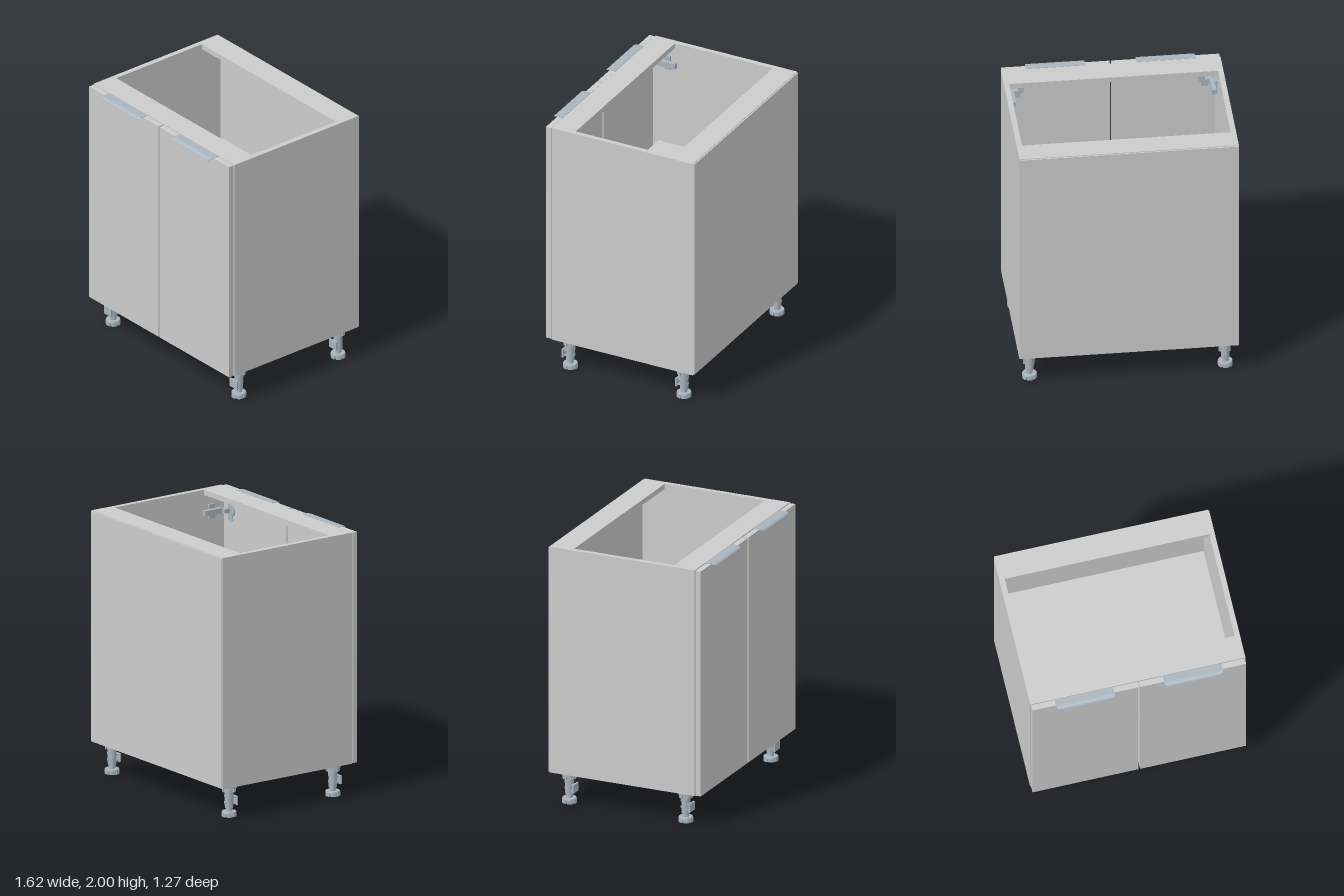
import * as THREE from 'three';

const board = new THREE.MeshStandardMaterial({ color: 0xcccccc });
const metal = new THREE.MeshStandardMaterial({ color: 0xa9b4be });

function add(parent, name, geo, mat, x = 0, y = 0, z = 0) {
  const m = new THREE.Mesh(geo, mat);
  m.name = name;
  m.position.set(x, y, z);
  parent.add(m);
  return m;
}

// box given by its limits on each axis
function box(parent, name, mat, [x0, x1], [y0, y1], [z0, z1]) {
  return add(parent, name, new THREE.BoxGeometry(x1 - x0, y1 - y0, z1 - z0), mat,
    (x0 + x1) / 2, (y0 + y1) / 2, (z0 + z1) / 2);
}

function cyl(parent, name, r0, r1, y0, y1, sides = 24) {
  return add(parent, name, new THREE.CylinderGeometry(r1, r0, y1 - y0, sides), metal, 0, (y0 + y1) / 2, 0);
}

// disc with slots cut into its rim
function slottedDisc(r, inner, slots, height) {
  const pts = [];
  const step = (Math.PI * 2) / slots;
  for (let i = 0; i < slots; i++) {
    const a = i * step, half = 0.1;
    pts.push([inner, a - half * 1.3], [inner, a + half * 1.3]);
    for (let k = 0; k <= 5; k++) pts.push([r, a + half + (step - 2 * half) * k / 5]);
  }
  const shape = new THREE.Shape(pts.map(([d, a]) => new THREE.Vector2(d * Math.cos(a), d * Math.sin(a))));
  return new THREE.ExtrudeGeometry(shape, { depth: height, bevelEnabled: false }).rotateX(-Math.PI / 2);
}

// adjustable leg with plinth clip on its front
function makeLeg(x, z) {
  const leg = new THREE.Group();
  leg.name = 'leg';
  add(leg, 'foot', slottedDisc(0.055, 0.043, 6, 0.028), metal);
  cyl(leg, 'footTop', 0.055, 0.052, 0.028, 0.038);
  cyl(leg, 'threadedNeck', 0.024, 0.024, 0.038, 0.065);
  cyl(leg, 'shaft', 0.031, 0.034, 0.063, 0.19);
  add(leg, 'mountingFlange', slottedDisc(0.052, 0.036, 4, 0.028), metal, 0, 0.188, 0).rotation.y = Math.PI / 2;
  cyl(leg, 'flangeRim', 0.058, 0.058, 0.216, 0.24);
  box(leg, 'clipPlate', metal, [-0.042, 0.042], [0.085, 0.15], [0.04, 0.053]);
  for (const y of [0.092, 0.135]) box(leg, 'clipJaw', metal, [-0.025, 0.025], [y, y + 0.01], [0, 0.042]);
  for (const y of [0.1, 0.15]) box(leg, 'shaftNub', metal, [-0.008, 0.008], [y, y + 0.015], [-0.038, -0.02]);
  leg.position.set(x, 0, z);
  return leg;
}

// lipped pull on the door's top edge, rounded at its front corners
function makeHandle(x) {
  const top = [[0.55, 2], [0.6, 2], [0.613, 1.998], [0.624, 1.993], [0.631, 1.986], [0.635, 1.977]];
  const under = [[0.631, 1.977], [0.627, 1.984], [0.621, 1.99], [0.612, 1.994], [0.6, 1.996], [0.55, 1.996]];
  const shape = new THREE.Shape([...top, ...under].map(([z, y]) => new THREE.Vector2(-z, y)));
  const len = 0.44, r = 0.03;
  const geo = new THREE.ExtrudeGeometry(shape, { depth: len, bevelEnabled: false });
  geo.translate(0, 0, -len / 2).rotateY(Math.PI / 2);
  // rotation has mapped the profile's -z back to +z
  const p = geo.attributes.position;
  for (let i = 0; i < p.count; i++) {
    const d = Math.min(r, Math.max(0, p.getZ(i) - (0.635 - r)));
    const cut = r - Math.sqrt(r * r - d * d);
    p.setX(i, p.getX(i) - Math.sign(p.getX(i)) * cut);
  }
  geo.computeVertexNormals();
  const m = new THREE.Mesh(geo, metal);
  m.name = 'handle';
  m.position.x = x;
  return m;
}

// concealed hinge joining a side panel (side = 1 or -1) to its door
function makeHinge(side, y) {
  const hinge = new THREE.Group();
  hinge.name = 'hinge';
  const span = (a, b) => (side > 0 ? [a, b] : [-b, -a]);
  box(hinge, 'wallPlate', metal, span(0.755, 0.77), [y - 0.055, y + 0.055], [0.4, 0.45]);
  box(hinge, 'arm', metal, span(0.722, 0.757), [y - 0.02, y + 0.02], [0.34, 0.5]);
  box(hinge, 'link', metal, span(0.69, 0.74), [y - 0.016, y + 0.016], [0.49, 0.54]);
  box(hinge, 'doorFlange', metal, span(0.665, 0.72), [y - 0.075, y + 0.075], [0.543, 0.552]);
  add(hinge, 'cup', new THREE.CylinderGeometry(0.044, 0.044, 0.012, 24).rotateX(Math.PI / 2),
    metal, side * 0.685, y, 0.546);
  return hinge;
}

export function createModel() {
  const model = new THREE.Group();
  model.name = 'baseCabinet';
  const inner = [-0.77, 0.77];

  // carcass
  box(model, 'bottomPanel', board, inner, [0.24, 0.28], [-0.63, 0.547]);
  box(model, 'shelf', board, [-0.768, 0.768], [1.12, 1.16], [-0.63, 0.5]);
  box(model, 'frontRail', board, inner, [1.96, 2], [0.365, 0.547]);
  box(model, 'backRail', board, inner, [1.96, 2], [-0.63, -0.45]);
  box(model, 'backPanel', board, [-0.805, 0.805], [0.245, 1.995], [-0.64, -0.63]);

  // mirrored sides, doors, handles, hinges and legs
  for (const s of [1, -1]) {
    const span = (a, b) => (s > 0 ? [a, b] : [-b, -a]);
    box(model, 'sidePanel', board, span(0.77, 0.81), [0.24, 2], [-0.63, 0.547]);
    box(model, 'door', board, span(0.006, 0.804), [0.242, 1.996], [0.552, 0.595]);
    model.add(makeHandle(s * 0.407));
    for (const y of [0.41, 1.83]) model.add(makeHinge(s, y));
    for (const z of [0.435, -0.51]) model.add(makeLeg(s * 0.722, z));
  }
  return model;
}
